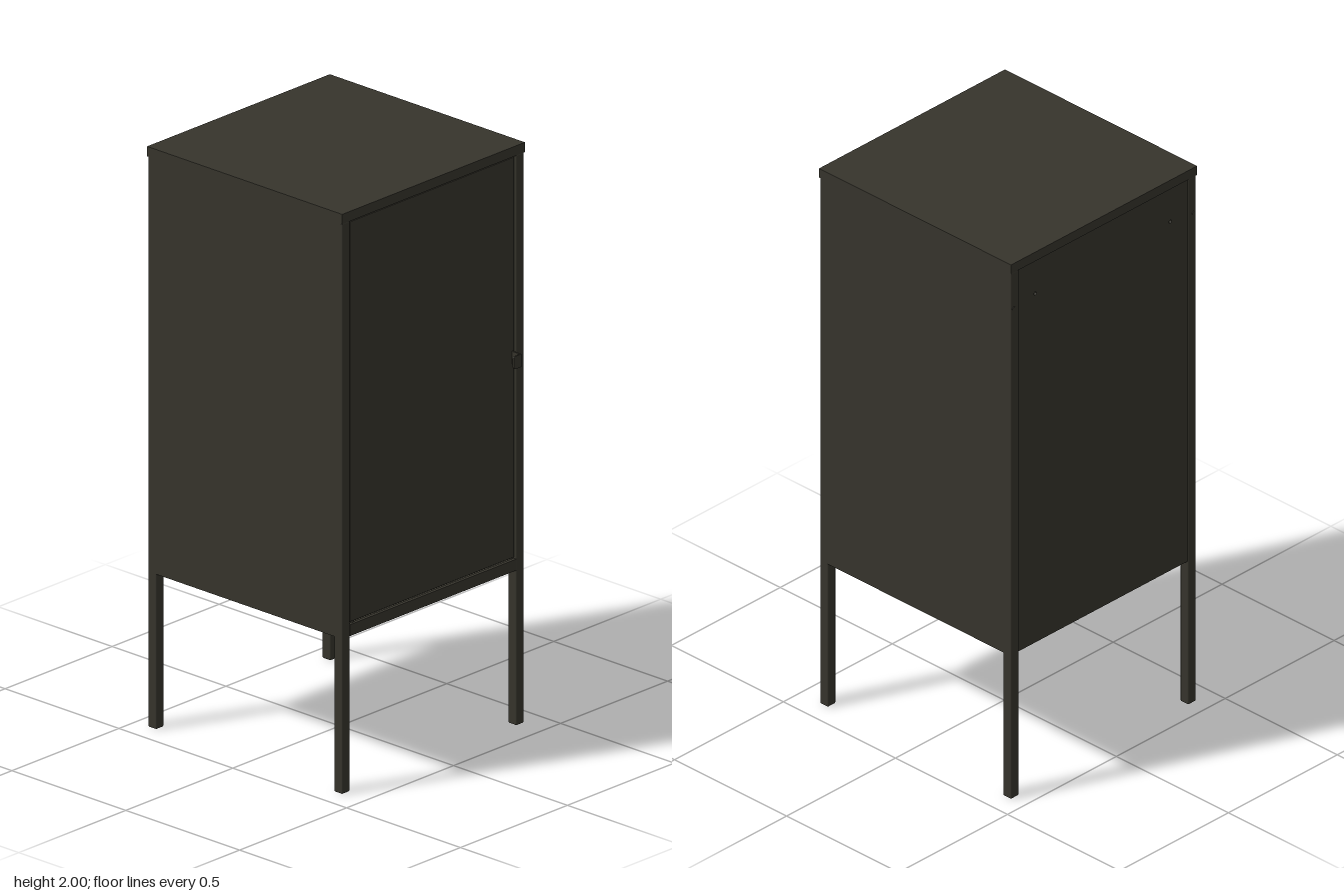
import * as THREE from 'three';
import { RoundedBoxGeometry } from 'three/addons/geometries/RoundedBoxGeometry.js';

export function createModel() {
  const cabinet = new THREE.Group();
  cabinet.name = 'cabinet';
  const paint = new THREE.MeshStandardMaterial({ color: 0x36342c });
  paint.name = 'dark olive paint';
  const sheet = new THREE.MeshStandardMaterial({ color: 0x36342c, side: THREE.DoubleSide });
  sheet.name = 'dark olive sheet metal';

  function add(name, geometry, material = paint) {
    const mesh = new THREE.Mesh(geometry, material);
    mesh.name = name;
    cabinet.add(mesh);
    return mesh;
  }
  // Box given by its lower and upper corners
  function box(name, x0, x1, y0, y1, z0, z1) {
    const mesh = add(name, new THREE.BoxGeometry(x1 - x0, y1 - y0, z1 - z0));
    mesh.position.set((x0 + x1) / 2, (y0 + y1) / 2, (z0 + z1) / 2);
    return mesh;
  }

  const W = 0.425, F = 0.41, B = -0.443, P = 0.036; // half width, front, back, post size
  const bottom = 0.535, lidY = 1.966;
  const midZ = (F + B) / 2;

  // Lid
  box('lid', -0.427, 0.427, lidY, 2, -0.445, 0.412);

  for (const s of [-1, 1]) {
    const side = s > 0 ? 'left' : 'right';
    // Full-height corner posts that run down into the legs
    for (const [end, z] of [['Front', F - P / 2], ['Back', B + P / 2]]) {
      const post = add(side + end + 'Leg', new RoundedBoxGeometry(P, lidY, P, 2, 0.004));
      post.position.set(s * (W - P / 2), lidY / 2, z);
    }
    // Side panel
    const panel = box(side + 'Panel', -0.006, 0.006, bottom, lidY, B + 0.004, F - 0.004);
    panel.position.x = s * (W - 0.006);
    // Inward flange along the lower edge of the side
    const flange = box(side + 'Flange', -0.014, 0.014, bottom, bottom + 0.008, B + P, F - P);
    flange.position.x = s * (W - 0.014);
    // Mounting slot cover on the back post
    const slot = add(side + 'SlotCover', new THREE.CylinderGeometry(0.007, 0.007, 0.004, 16));
    slot.rotation.x = Math.PI / 2;
    slot.position.set(s * (W - 0.012), 1.83, B);
  }

  // Front and back lower rails, with a flange on each
  const inner = W - P;
  box('frontRail', -inner, inner, bottom, 0.574, F - 0.012, F);
  box('frontRailFlange', -inner, inner, bottom, bottom + 0.008, F - P, F - 0.012);
  box('backRailFlange', -inner, inner, bottom, bottom + 0.008, B + 0.006, B + P);

  // Floor set up inside the rails
  box('floor', -W + 0.012, W - 0.012, 0.562, 0.57, B + 0.012, F - 0.012);

  // Back panel with two wall-fixing holes
  const backShape = new THREE.Shape();
  backShape.moveTo(-inner, bottom);
  backShape.lineTo(inner, bottom);
  backShape.lineTo(inner, lidY);
  backShape.lineTo(-inner, lidY);
  backShape.closePath();
  for (const x of [-0.31, 0.31]) {
    const hole = new THREE.Path();
    hole.absarc(x, 1.84, 0.006, 0, Math.PI * 2, true);
    backShape.holes.push(hole);
  }
  const back = add('backPanel', new THREE.ExtrudeGeometry(backShape, { depth: 0.006, bevelEnabled: false }));
  back.position.z = B + 0.004;

  // Door, set in the frame with a narrow gap in front of a stop
  box('doorStop', -inner, inner, 0.57, lidY, F - 0.03, F - 0.024);
  box('door', -0.383, 0.383, 0.582, 1.96, F - 0.022, F - 0.004);
  const pin = add('hingePin', new THREE.CylinderGeometry(0.005, 0.005, 0.012, 12));
  pin.position.set(-0.365, 0.578, F - 0.012);

  // Handle: bent plate, a stem and a grip with rounded free corners
  const stemX = 0.377, t = 0.005;
  box('handleStem', stemX - t, stemX, 1.25, 1.294, F - 0.006, 0.445);
  const gripW = 0.037, gripH = 0.044, r = 0.01;
  const grip = new THREE.Shape();
  grip.moveTo(0, 0);
  grip.lineTo(0, gripH);
  grip.lineTo(-gripW + r, gripH);
  grip.quadraticCurveTo(-gripW, gripH, -gripW, gripH - r);
  grip.lineTo(-gripW, r);
  grip.quadraticCurveTo(-gripW, 0, -gripW + r, 0);
  grip.closePath();
  const gripMesh = add('handleGrip', new THREE.ExtrudeGeometry(grip, { depth: t, bevelEnabled: false }), sheet);
  gripMesh.position.set(stemX, 1.25, 0.445 - t);

  return cabinet;
}
